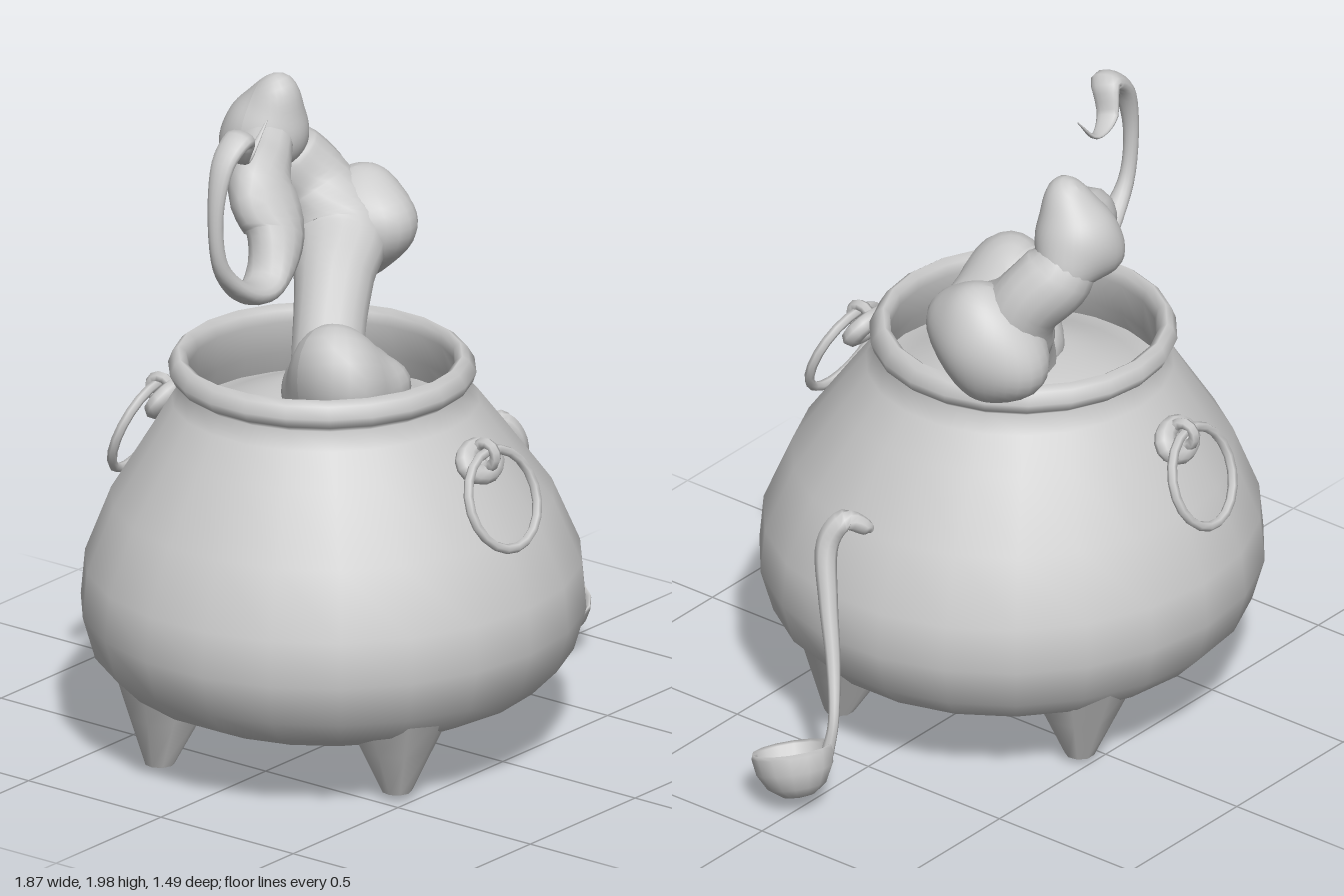
import * as THREE from 'three';

const grey = new THREE.MeshStandardMaterial({ color: 0xcccccc, side: THREE.DoubleSide });

function add(parent, name, geometry, pos = [0, 0, 0], rot = [0, 0, 0], scale = [1, 1, 1]) {
  const mesh = new THREE.Mesh(geometry, grey);
  mesh.name = name;
  mesh.position.set(...pos);
  mesh.rotation.set(...rot);
  mesh.scale.set(...scale);
  parent.add(mesh);
  return mesh;
}

const lathe = (points, sides) =>
  new THREE.LatheGeometry(points.map(([r, y]) => new THREE.Vector2(r, y)), sides);

// Sweeps an ellipse along stations [x, y, z, half-width in the xy plane, half-width across it]
function sweep(stations, steps, sides) {
  const path = new THREE.CatmullRomCurve3(
    stations.map(s => new THREE.Vector3(s[0], s[1], s[2])), false, 'catmullrom');
  const size = new THREE.CatmullRomCurve3(
    stations.map(s => new THREE.Vector3(s[3], s[4], 0)), false, 'catmullrom');
  const positions = [], index = [], zAxis = new THREE.Vector3(0, 0, 1);
  for (let i = 0; i <= steps; i++) {
    const p = path.getPoint(i / steps), t = path.getTangent(i / steps), r = size.getPoint(i / steps);
    const n = new THREE.Vector3().crossVectors(zAxis, t).normalize();
    const b = new THREE.Vector3().crossVectors(t, n);
    for (let j = 0; j < sides; j++) {
      const a = (j / sides) * Math.PI * 2;
      const v = p.clone().addScaledVector(n, Math.cos(a) * Math.max(r.x, 0.001))
        .addScaledVector(b, Math.sin(a) * Math.max(r.y, 0.001));
      positions.push(v.x, v.y, v.z);
      if (i === steps) continue;
      const k = i * sides, j2 = (j + 1) % sides;
      index.push(k + j, k + j2, k + sides + j, k + j2, k + sides + j2, k + sides + j);
    }
  }
  const geometry = new THREE.BufferGeometry();
  geometry.setAttribute('position', new THREE.Float32BufferAttribute(positions, 3));
  geometry.setIndex(index);
  geometry.computeVertexNormals();
  return geometry;
}

// Pot wall, rolled rim and inner wall in one profile; the neck leans slightly back
function potGeometry() {
  const g = lathe([
    [0, 0.125], [0.3, 0.14], [0.52, 0.19], [0.65, 0.25], [0.73, 0.33], [0.768, 0.46], [0.755, 0.6],
    [0.67, 0.8], [0.53, 1.0], [0.46, 1.1], [0.42, 1.15], [0.446, 1.17], [0.458, 1.2],
    [0.44, 1.235], [0.42, 1.25], [0.4, 1.235], [0.395, 1.2], [0.41, 1.1], [0.47, 0.98],
  ], 22);
  const p = g.attributes.position;
  for (let i = 0; i < p.count; i++) {
    const lean = Math.max(0, (p.getY(i) - 0.6) / 0.65) ** 2;
    p.setX(i, p.getX(i) - 0.028 * lean);
    p.setZ(i, p.getZ(i) * (0.97 + 0.04 * lean) - 0.028 * lean);
  }
  return g;
}

// A ball of radius base swollen towards each [x, y, z, amount, sharpness]
function lumpGeometry(base, bulges) {
  const swells = bulges.map(([x, y, z, amount, k]) =>
    ({ dir: new THREE.Vector3(x, y, z).normalize(), amount, k }));
  const g = new THREE.SphereGeometry(1, 32, 24), p = g.attributes.position;
  const v = new THREE.Vector3();
  for (let i = 0; i < p.count; i++) {
    v.fromBufferAttribute(p, i);
    let r = base;
    for (const { dir, amount, k } of swells) r += amount * Math.exp(k * (v.dot(dir) - 1));
    p.setXYZ(i, v.x * r, v.y * r, v.z * r);
  }
  g.computeVertexNormals();
  return g;
}

// Hanging ring with its wall mount and loop
function ringHandle(name, pos, turn) {
  const g = new THREE.Group();
  g.name = name;
  g.position.set(...pos);
  g.rotation.set(-0.37, turn, 0, 'YXZ');
  add(g, 'ring', new THREE.TorusGeometry(0.15, 0.015, 6, 20));
  add(g, 'mount', new THREE.TorusGeometry(0.045, 0.033, 8, 14), [0, 0.125, -0.045], [-0.25, 0, 0], [1.25, 0.95, 0.9]);
  add(g, 'loop', new THREE.TorusGeometry(0.036, 0.018, 6, 12), [0, 0.14, -0.015], [0, Math.PI / 2, 0]);
  return g;
}

export function createModel() {
  const model = new THREE.Group();
  model.name = 'cauldron';
  add(model, 'pot', potGeometry(), [-0.176, 0, 0]);

  // Tapered feet whose wide tops sit inside the pot's lower curve
  for (const [x, y, z] of [[-0.43, 0.035, 0.44], [0.34, 0.055, 0.24], [0.06, 0.03, -0.45], [-0.64, 0.015, -0.29]]) {
    const h = 0.32 - y, out = new THREE.Vector2(x + 0.176, z);
    const shift = out.clone().setLength(0.51).sub(out);
    const g = new THREE.CylinderGeometry(0.18, 0.045, h, 9, 2);
    const p = g.attributes.position;
    for (let i = 0; i < p.count; i++) {
      const s = p.getY(i) / h + 0.5;
      p.setX(i, p.getX(i) + shift.x * s);
      p.setZ(i, p.getZ(i) + shift.y * s);
    }
    add(model, 'leg', g, [x, y + h / 2, z]);
  }

  model.add(ringHandle('frontRing', [-0.17, 0.925, 0.635], 0));
  model.add(ringHandle('backRing', [-0.27, 0.895, -0.65], Math.PI + 0.14));

  // Domed brew surface and the mass bubbling out of it
  add(model, 'brew', lathe([[0.445, 1.03], [0.36, 1.05], [0.26, 1.1], [0.15, 1.13], [0, 1.14]], 24), [-0.195, 0, -0.02]);
  add(model, 'bubblingMass', lumpGeometry(0.16, [
    [-0.12, 0.26, 0.06, 0.17, 5],
    [-0.16, 0.14, 0.2, 0.08, 8],
    [0.1, 0.12, 0.18, 0.07, 10],
    [0.2, 0.12, -0.02, 0.08, 8],
    [0.02, 0.1, -0.2, 0.05, 6],
  ]), [-0.235, 1.09, 0.07]);

  // Steam: a rising column with two billows
  add(model, 'steamColumn', sweep([
    [-0.19, 1.04, 0.0, 0.13, 0.14],
    [-0.1, 1.22, -0.08, 0.11, 0.11],
    [0.04, 1.37, -0.17, 0.115, 0.12],
    [0.17, 1.46, -0.26, 0.13, 0.15],
    [0.19, 1.58, -0.35, 0.12, 0.11],
    [0.13, 1.69, -0.43, 0.11, 0.11],
    [0.08, 1.8, -0.44, 0.06, 0.06],
  ], 36, 16));
  add(model, 'lowerBillow', lumpGeometry(0.155, [
    [0, 0.2, 1, 0.06, 5], [0, -0.5, -1, 0.06, 5], [0.3, 1, 0.2, 0.03, 6], [0.3, -1, -0.1, 0.03, 6],
  ]), [0.265, 1.465, -0.27]);
  add(model, 'upperBillow', lumpGeometry(0.125, [
    [0, 1, 0.35, 0.07, 8], [0.6, -0.6, -0.1, 0.06, 6], [-0.5, -0.5, -0.6, 0.03, 6],
  ]), [0.06, 1.78, -0.44]);

  // Steam tail thinning out into a curled ribbon
  add(model, 'steamTail', sweep([
    [0.07, 1.8, -0.44, 0.06, 0.08],
    [-0.05, 1.745, -0.37, 0.08, 0.09],
    [-0.145, 1.68, -0.3, 0.12, 0.09],
    [-0.175, 1.56, -0.22, 0.1, 0.08],
    [-0.29, 1.455, -0.17, 0.045, 0.07],
    [-0.43, 1.475, -0.14, 0.032, 0.05],
    [-0.55, 1.59, -0.13, 0.025, 0.025],
    [-0.575, 1.76, -0.13, 0.022, 0.025],
    [-0.54, 1.91, -0.13, 0.026, 0.04],
    [-0.46, 1.97, -0.13, 0.028, 0.05],
    [-0.415, 1.885, -0.17, 0.014, 0.035],
    [-0.32, 1.87, -0.2, 0.008, 0.015],
    [-0.24, 1.95, -0.2, 0.002, 0.002],
  ], 60, 14));

  // Ladle leaning against the pot
  const ladle = new THREE.Group();
  ladle.name = 'ladle';
  add(ladle, 'ladleHandle', sweep([
    [0.475, 0.8, 0.0, 0.002, 0.002],
    [0.485, 0.815, 0.02, 0.024, 0.03],
    [0.53, 0.84, 0.07, 0.032, 0.036],
    [0.572, 0.76, 0.1, 0.036, 0.034],
    [0.615, 0.61, 0.06, 0.031, 0.028],
    [0.665, 0.44, 0.0, 0.024, 0.021],
    [0.725, 0.29, -0.05, 0.017, 0.016],
    [0.75, 0.18, -0.045, 0.02, 0.02],
  ], 36, 8));
  add(ladle, 'ladleBowl', lathe([
    [0, -0.14], [0.05, -0.13], [0.09, -0.1], [0.117, -0.05], [0.124, 0], [0.12, 0.012],
    [0.108, 0.005], [0.1, -0.04], [0.07, -0.085], [0, -0.105],
  ], 14), [0.815, 0.19, 0.035], [0.33, 0, 0.15]);
  model.add(ladle);

  return model;
}
